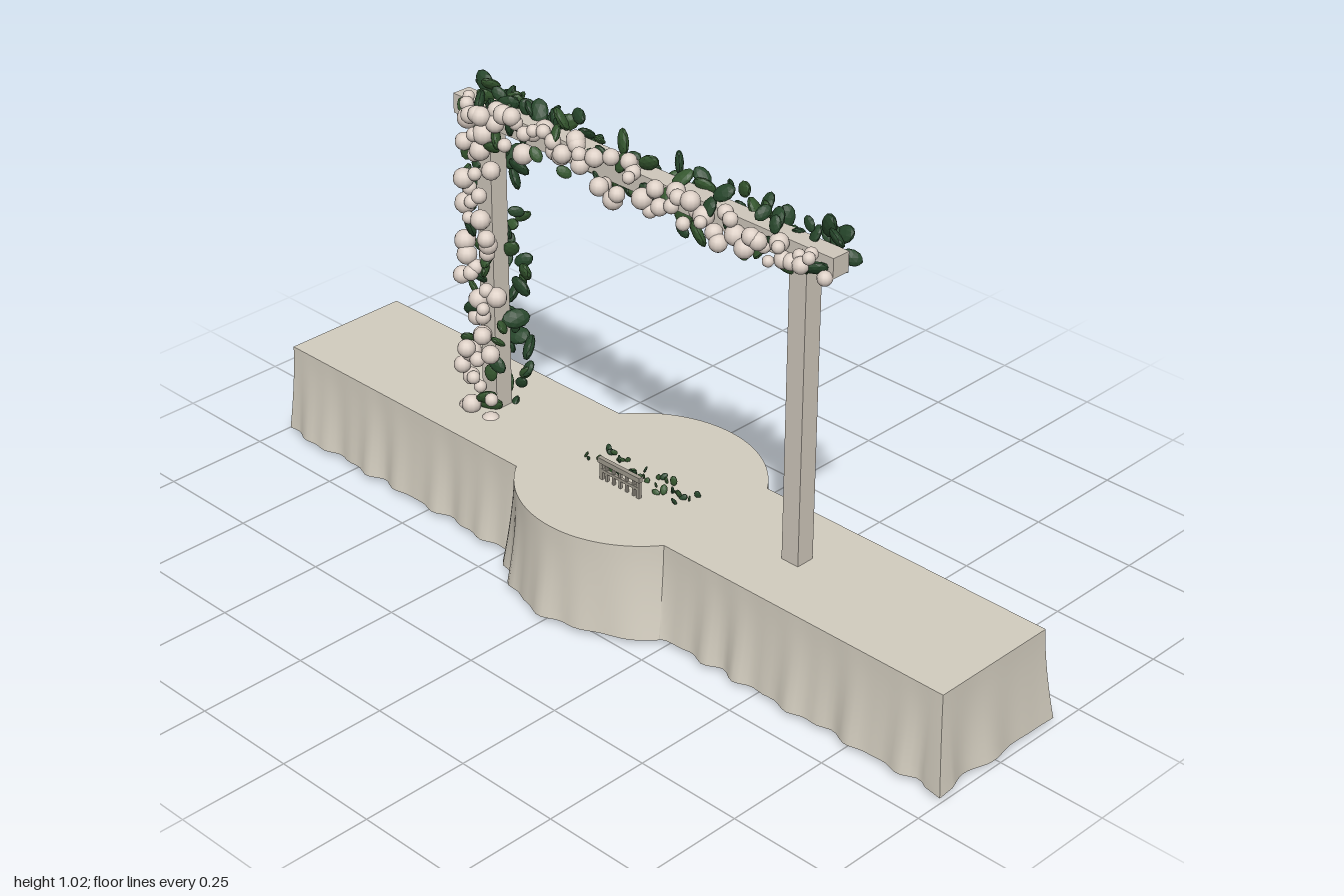
import * as THREE from 'three';
import { mergeGeometries } from 'three/addons/utils/BufferGeometryUtils.js';

const flat = (name, color, extra = {}) => {
  const m = new THREE.MeshStandardMaterial({ color, ...extra });
  m.name = name;
  return m;
};

export function createModel() {
  const group = new THREE.Group();
  const cloth = flat('linen', 0xd3cdbf, { side: THREE.DoubleSide });
  const wood = flat('pale wood', 0xd0c8bc);
  const petal = flat('blush petal', 0xdccfc5);
  const leafDark = flat('dark leaf', 0x26452a, { flatShading: true });
  const leafLight = flat('green leaf', 0x35572f, { flatShading: true });
  const metal = flat('chair metal', 0xa09a8e);

  const add = (name, geo, mat, x = 0, y = 0, z = 0, parent = group) => {
    const m = new THREE.Mesh(geo, mat);
    m.name = name;
    m.position.set(x, y, z);
    parent.add(m);
    return m;
  };
  const box = (name, w, h, d, mat, x, y, z, parent) =>
    add(name, new THREE.BoxGeometry(w, h, d), mat, x, y, z, parent);

  let seed = 17;
  const rnd = (a = 0, b = 1) => {
    seed = (seed * 1664525 + 1013904223) % 4294967296;
    return a + (b - a) * seed / 4294967296;
  };

  // Table outline: long rectangle with a round bulge front and back
  const W = 0.97, D = 0.157, R = 0.272, TOP = 0.227, HEM = 0.012;
  const J = Math.sqrt(R * R - D * D), a0 = Math.atan2(D, J);
  const line = (x1, z1, x2, z2, nx, nz) => {
    const n = Math.ceil(Math.hypot(x2 - x1, z2 - z1) / 0.015), pts = [];
    for (let i = 0; i <= n; i++) {
      const t = i / n;
      pts.push({ x: x1 + (x2 - x1) * t, z: z1 + (z2 - z1) * t, nx, nz });
    }
    return pts;
  };
  const arc = (from, to) => {
    const pts = [];
    for (let i = 0; i <= 36; i++) {
      const a = from + (to - from) * i / 36, nx = Math.cos(a), nz = Math.sin(a);
      pts.push({ x: R * nx, z: R * nz, nx, nz });
    }
    return pts;
  };
  const sides = [
    line(W, -D, W, D, 1, 0), line(W, D, J, D, 0, 1), arc(a0, Math.PI - a0),
    line(-J, D, -W, D, 0, 1), line(-W, D, -W, -D, -1, 0), line(-W, -D, -J, -D, 0, -1),
    arc(Math.PI + a0, Math.PI * 2 - a0), line(J, -D, W, -D, 0, -1),
  ];
  // Mitre the ends so neighbouring cloth panels share their corners
  sides.forEach((s, i) => {
    const e = s[s.length - 1], f = sides[(i + 1) % sides.length][0];
    const k = 1 + e.nx * f.nx + e.nz * f.nz;
    const nx = (e.nx + f.nx) / k, nz = (e.nz + f.nz) / k;
    Object.assign(e, { nx, nz });
    Object.assign(f, { nx, nz });
  });

  // Draped skirt: each panel flares towards a rippled hem
  const ROWS = 8;
  sides.forEach((s) => {
    const pos = [], idx = [];
    s.forEach((p, i) => {
      const u = p.x * 1.0 + p.z * 0.6;
      const wave = Math.sin(u * 47 + Math.sin(u * 13) * 1.3) * 0.6 + Math.sin(u * 83 + 1) * 0.4;
      for (let r = 0; r <= ROWS; r++) {
        const t = r / ROWS, out = 0.02 * t ** 1.5 + 0.01 * wave * t ** 1.4;
        pos.push(p.x + p.nx * out, TOP + (HEM - TOP) * t, p.z + p.nz * out);
        if (i && r) {
          const b = i * (ROWS + 1) + r, a = b - ROWS - 1;
          idx.push(a - 1, b - 1, a, b - 1, b, a);
        }
      }
    });
    // Turn the faces outwards
    for (let i = 0; i < idx.length; i += 3) [idx[i + 1], idx[i + 2]] = [idx[i + 2], idx[i + 1]];
    const g = new THREE.BufferGeometry();
    g.setAttribute('position', new THREE.Float32BufferAttribute(pos, 3));
    g.setIndex(idx);
    const n = s[s.length >> 1];
    g.computeVertexNormals();
    const k = (s.length >> 1) * (ROWS + 1), nor = g.attributes.normal;
    if (nor.getX(k) * n.nx + nor.getZ(k) * n.nz < 0) {
      g.setIndex(idx.reverse());
      g.computeVertexNormals();
    }
    add('skirtPanel', g, cloth);
  });
  const outline = new THREE.Shape(sides.flatMap((s) => s.slice(1).map((p) => new THREE.Vector2(p.x, -p.z))));
  add('tableTop', new THREE.ShapeGeometry(outline).rotateX(-Math.PI / 2), cloth, 0, TOP, 0);

  // Wooden arch
  for (const x of [-0.45, 0.45]) box('archPost', 0.045, 0.955, 0.045, wood, x, 0.4775, 0);
  box('archBeam', 1.08, 0.045, 0.045, wood, 0, 0.937, 0);

  // Garland: flattened leaves and round blossoms, merged by colour
  const leaves = [[], []], blossoms = [];
  const leafBase = new THREE.IcosahedronGeometry(1, 1);
  const bloomBase = new THREE.SphereGeometry(1, 12, 9);
  const leaf = (x, y, z, s) => {
    const m = new THREE.Matrix4().compose(
      new THREE.Vector3(x, y, z),
      new THREE.Quaternion().setFromEuler(new THREE.Euler(rnd(-0.9, 0.9), rnd(-0.9, 0.9), rnd(0, 6.28))),
      new THREE.Vector3(s, s * 0.68, s * 0.36));
    leaves[rnd() < 0.6 ? 0 : 1].push(leafBase.clone().applyMatrix4(m));
  };
  const bloom = (x, y, z, s) => blossoms.push(bloomBase.clone().scale(s, s, s).translate(x, y, z));

  for (let i = 0; i < 78; i++) {
    const y = 0.17 + 0.8 * (i + rnd()) / 78, front = i % 3 === 0;
    leaf(-0.45 + rnd(-0.06, 0.06), y, front ? rnd(0.01, 0.045) : rnd(-0.055, -0.02), rnd(0.018, 0.034));
  }
  for (let i = 0; i < 44; i++) {
    const y = 0.2 + 0.76 * (i + rnd()) / 44;
    bloom(-0.45 + rnd(-0.05, 0.05), y, rnd(0.035, 0.062), rnd(0.014, 0.025));
  }
  for (let i = 0; i < 125; i++) {
    const x = -0.52 + 1.06 * (i + rnd()) / 125, front = i % 3 === 0;
    leaf(x, 0.94 + rnd(-0.06, 0.055), front ? rnd(0, 0.045) : rnd(-0.05, -0.01), rnd(0.015, 0.031));
  }
  for (let i = 0; i < 68; i++) {
    const x = -0.5 + 1.04 * (i + rnd()) / 68;
    bloom(x, 0.94 + rnd(-0.045, 0.045), rnd(0.03, 0.06), rnd(0.012, 0.023));
  }
  for (let i = 0; i < 9; i++) leaf(-0.45 + rnd(-0.06, 0.06), rnd(0.95, 0.995), rnd(-0.04, 0.03), rnd(0.022, 0.032));

  // Low greenery spreading over the table centre
  for (let i = 0; i < 34; i++) {
    const x = -0.15 + 0.3 * (i + rnd()) / 34;
    leaf(x, rnd(0.228, 0.24), rnd(-0.028, 0.028), rnd(0.007, 0.012));
  }
  add('darkLeaves', mergeGeometries(leaves[0]), leafDark);
  add('lightLeaves', mergeGeometries(leaves[1]), leafLight);
  add('blossoms', mergeGeometries(blossoms), petal);

  // Small chair whose back rises through the table top
  const chair = new THREE.Group();
  chair.name = 'chair';
  group.add(chair);
  for (const x of [-0.055, 0.055]) {
    box('chairFrontLeg', 0.008, 0.13, 0.008, metal, x, 0.07, -0.055, chair);
    box('chairBackPost', 0.008, 0.27, 0.008, metal, x, 0.14, 0.062, chair);
  }
  box('chairSeat', 0.12, 0.01, 0.125, metal, 0, 0.135, 0.003, chair);
  box('chairTopRail', 0.125, 0.012, 0.01, metal, 0, 0.274, 0.064, chair);
  box('chairMidRail', 0.11, 0.007, 0.007, metal, 0, 0.25, 0.063, chair);
  for (let i = -2; i <= 2; i++) box('chairSlat', 0.006, 0.13, 0.006, metal, i * 0.02, 0.205, 0.062, chair);

  // Pedestal and planter beneath the greenery
  const foot = [[0, 0], [0.045, 0], [0.042, 0.006], [0.012, 0.014], [0.008, 0.09], [0, 0.09]]
    .map(([x, y]) => new THREE.Vector2(x, y));
  add('pedestal', new THREE.LatheGeometry(foot, 24), metal, 0, 0.003, 0);
  add('planter', new THREE.CylinderGeometry(0.032, 0.022, 0.08, 12), leafDark, 0, 0.185, 0);
  return group;
}
